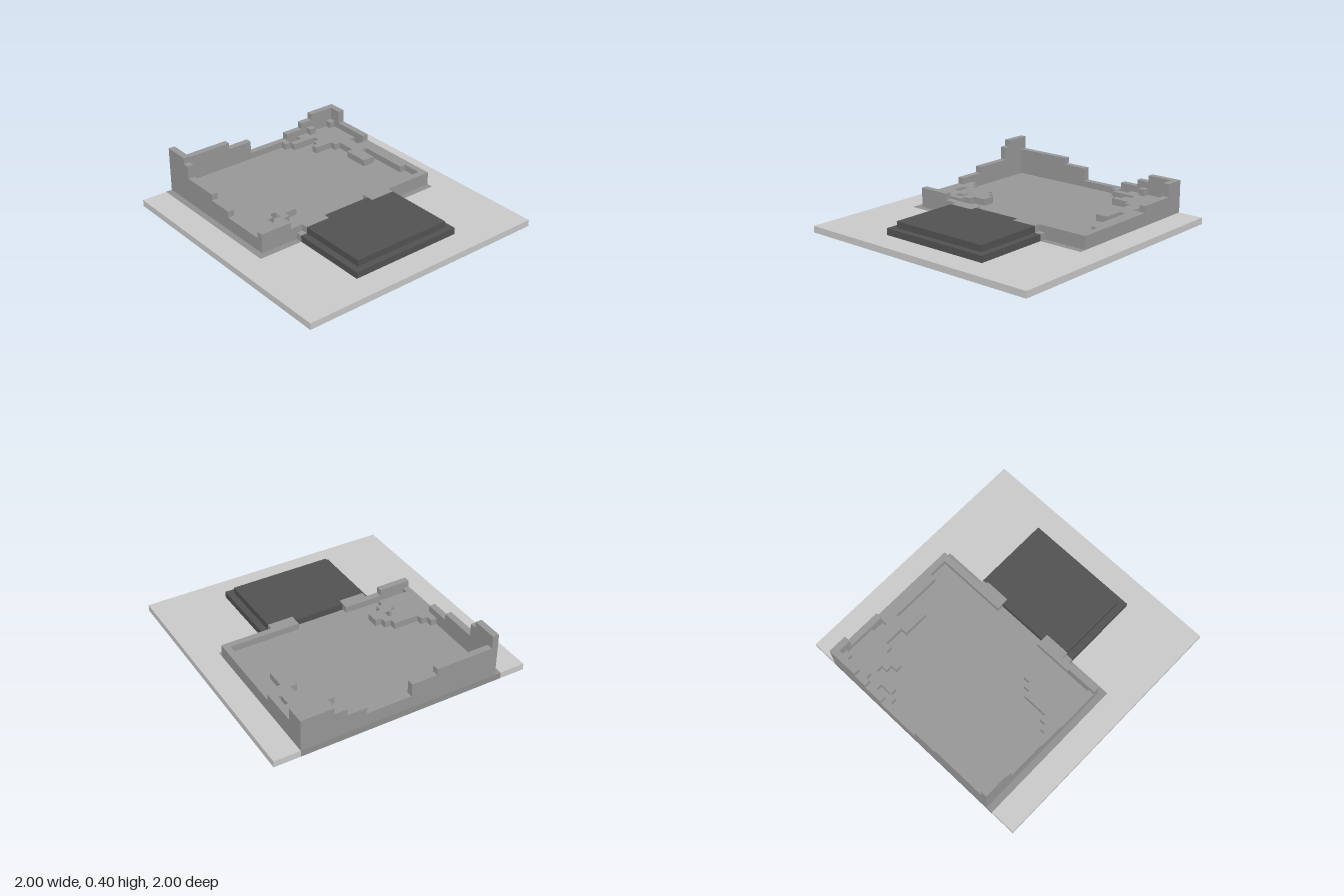
import * as THREE from 'three';

const material = (name, color) => {
  const m = new THREE.MeshStandardMaterial({ color });
  m.name = name;
  return m;
};

export function createModel() {
  const model = new THREE.Group();
  model.name = 'ruinedHall';
  const paleStone = material('paleStone', 0xc9c9c9);
  const groundStone = material('groundStone', 0x8f8f8f);
  const wallStone = material('wallStone', 0x979797);
  const darkStone = material('darkStone', 0x525252);

  const add = (name, geometry, mat) => {
    const mesh = new THREE.Mesh(geometry, mat);
    mesh.name = name;
    model.add(mesh);
    return mesh;
  };
  const toPoints = (plan) => plan.map(([x, z]) => new THREE.Vector2(x, -z));
  const rect = (x0, x1, z0, z1) => [[x0, z0], [x1, z0], [x1, z1], [x0, z1]];

  // Upright prism over a floor plan of [x, z] corners
  const prism = (name, plan, y0, y1, mat, holes = []) => {
    const shape = new THREE.Shape(toPoints(plan));
    holes.forEach((h) => shape.holes.push(new THREE.Path(toPoints(h))));
    const g = new THREE.ExtrudeGeometry(shape, { depth: y1 - y0, bevelEnabled: false });
    g.rotateX(-Math.PI / 2).translate(0, y0, 0);
    return add(name, g, mat);
  };
  const box = (name, x0, x1, y0, y1, z0, z1, mat) => {
    const g = new THREE.BoxGeometry(x1 - x0, y1 - y0, z1 - z0);
    g.translate((x0 + x1) / 2, (y0 + y1) / 2, (z0 + z1) / 2);
    return add(name, g, mat);
  };

  // Base slab: pale surround fitted around a darker foundation
  const footprint = [
    [-0.8, -1], [-0.8, 0.2], [-0.45, 0.2], [-0.45, 0.8],
    [0.45, 0.8], [0.45, 0.2], [0.8, 0.2], [0.8, -1],
  ];
  prism('baseSlab', [...footprint, [1, -1], [1, 1], [-1, 1], [-1, -1]], 0, 0.05, paleStone);
  prism('foundation', footprint, 0, 0.05, groundStone);

  // Sunken floor
  box('floor', -0.75, 0.8, 0.05, 0.1, -1, 0.15, wallStone);

  // Front platform in two steps, with stone ends against the wall
  const platform = (w, front) => [
    [-w, 0.2], [-0.2, 0.2], [-0.2, 0.15], [0.2, 0.15], [0.2, 0.2], [w, 0.2], [w, front], [-w, front],
  ];
  [[0.45, 0.8, 0.05], [0.4, 0.75, 0.1]].forEach(([w, front, y]) => {
    prism('platformStep', platform(w, front), y, y + 0.05, darkStone);
    box('rightStepEnd', -w, -0.2, y, y + 0.05, 0.15, 0.2, wallStone);
    box('leftStepEnd', 0.2, w, y, y + 0.05, 0.15, 0.2, wallStone);
  });

  // Broken walls: [start, end, height] along each run
  [[-0.7, -0.25, 0.3], [-0.25, -0.05, 0.25], [-0.05, 0.3, 0.15],
    [0.3, 0.45, 0.2], [0.45, 0.55, 0.25], [0.55, 0.75, 0.3]]
    .forEach(([a, b, h]) => box('backWall', a, b, 0.1, h, -1, -0.95, wallStone));
  [[-1, -0.8, 0.4], [-0.8, -0.75, 0.35], [-0.75, -0.45, 0.25],
    [-0.45, -0.25, 0.2], [-0.25, 0.1, 0.15], [0.1, 0.15, 0.2]]
    .forEach(([a, b, h]) => box('rightWall', -0.75, -0.7, 0.1, h, a, b, wallStone));
  [[-1, -0.85, 0.3], [-0.85, -0.55, 0.2], [-0.55, 0.15, 0.15]]
    .forEach(([a, b, h]) => box('leftWall', 0.75, 0.8, 0.1, h, a, b, wallStone));
  [[-0.7, -0.5, 0.2], [-0.5, -0.2, 0.15], [0.2, 0.75, 0.15]]
    .forEach(([a, b, h]) => box('frontWall', a, b, 0.1, h, 0.1, 0.15, wallStone));

  // Rubble in the front right corner, with gaps
  prism('frontRubble', [
    [-0.7, -0.35], [-0.65, -0.35], [-0.65, -0.3], [-0.6, -0.3], [-0.6, -0.25], [-0.4, -0.25],
    [-0.4, -0.2], [-0.35, -0.2], [-0.35, -0.15], [-0.3, -0.15], [-0.3, -0.05], [-0.4, -0.05],
    [-0.4, 0], [-0.45, 0], [-0.45, 0.05], [-0.7, 0.05],
  ], 0.1, 0.15, wallStone, [
    rect(-0.65, -0.6, -0.2, -0.1),
    rect(-0.45, -0.4, -0.15, -0.1),
    [[-0.5, -0.1], [-0.45, -0.1], [-0.45, 0], [-0.55, 0], [-0.55, -0.05], [-0.5, -0.05]],
  ]);

  // Rubble in the back left corner, trailing along the wall
  prism('backRubble', [
    [0.25, -0.95], [0.3, -0.95], [0.3, -0.9], [0.4, -0.9], [0.4, -0.95], [0.75, -0.95],
    [0.75, -0.65], [0.7, -0.65], [0.7, -0.55], [0.75, -0.55], [0.75, -0.05], [0.7, -0.05],
    [0.7, -0.45], [0.65, -0.45], [0.65, -0.3], [0.55, -0.3], [0.55, -0.5], [0.6, -0.5],
    [0.6, -0.65], [0.55, -0.65], [0.55, -0.7], [0.4, -0.7], [0.4, -0.75], [0.45, -0.75],
    [0.45, -0.8], [0.5, -0.8], [0.5, -0.85], [0.3, -0.85], [0.3, -0.9], [0.25, -0.9],
  ].map(([x, z]) => [x, z]), 0.1, 0.15, wallStone, [rect(0.6, 0.65, -0.75, -0.7)]);
  [[0.5, 0.55], [0.7, 0.75]].forEach(([a, b]) =>
    box('looseBlock', a, b, 0.15, 0.2, -0.95, -0.9, wallStone));

  return model;
}
